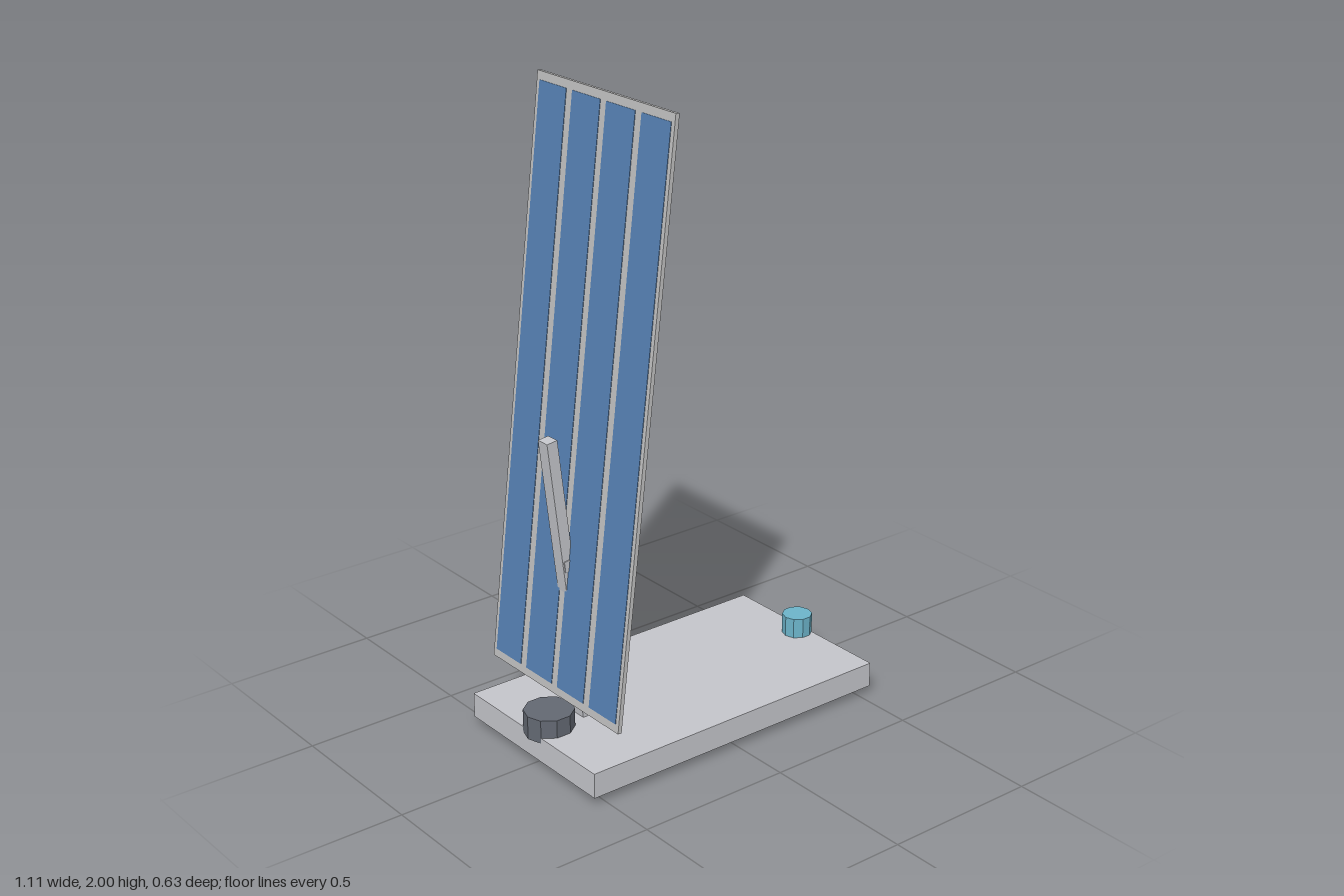
import * as THREE from 'three';

const mat = (name, color) => {
  const m = new THREE.MeshStandardMaterial({ color });
  m.name = name;
  return m;
};

export function createModel() {
  const root = new THREE.Group();
  root.name = 'solarPanelStand';
  const grey = mat('light grey', 0xc4c5ca);
  const frameGrey = mat('frame grey', 0xbebebe);
  const blue = mat('cell blue', 0x5580b2);
  const dark = mat('dark grey', 0x636872);
  const cyan = mat('cyan', 0x6cb3c9);

  const box = (parent, name, material, size, pos) => {
    const mesh = new THREE.Mesh(new THREE.BoxGeometry(...size), material);
    mesh.name = name;
    mesh.position.set(...pos);
    parent.add(mesh);
    return mesh;
  };

  // ten-sided knob with a corner pointing along x
  const knob = (name, material, r, x, y0, y1) => {
    const g = new THREE.CylinderGeometry(r, r, y1 - y0, 10).toNonIndexed();
    g.computeVertexNormals();
    g.rotateY(Math.PI / 10);
    const mesh = new THREE.Mesh(g, material);
    mesh.name = name;
    mesh.position.set(x, (y0 + y1) / 2, 0);
    root.add(mesh);
  };

  // base slab and the smaller foot beneath it
  box(root, 'base', grey, [1.08, 0.08, 0.614], [0, 0.065, 0]);
  box(root, 'foot', grey, [0.926, 0.03, 0.5], [0.002, 0.015, 0]);

  knob('darkKnob', dark, 0.0775, -0.4775, 0.088, 0.163);
  knob('cyanKnob', cyan, 0.048, 0.504, 0.1, 0.17);

  // square post leaning away from the base
  const post = box(root, 'post', grey, [0.036, 0.925, 0.044], [-0.405, 0.562, 0]);
  post.rotation.z = 0.121;

  // leaning panel with four cells on each face
  const panel = new THREE.Group();
  panel.name = 'panel';
  panel.position.set(-0.3455, 1.1035, 0);
  panel.rotation.z = -0.118;
  root.add(panel);
  box(panel, 'panelFrame', frameGrey, [0.013, 1.803, 0.626], [0, 0, 0]);
  for (const side of [-1, 1]) {
    for (let i = 0; i < 4; i++) {
      box(panel, 'cell', blue, [0.003, 1.752, i % 3 ? 0.13 : 0.128],
        [side * 0.0065, 0, (i - 1.5) * 0.1565]);
    }
  }

  // small clamp where the post meets the panel
  const clamp = box(root, 'clamp', grey, [0.036, 0.035, 0.05], [-0.408, 0.622, 0]);
  clamp.rotation.z = 0.121;

  return root;
}
